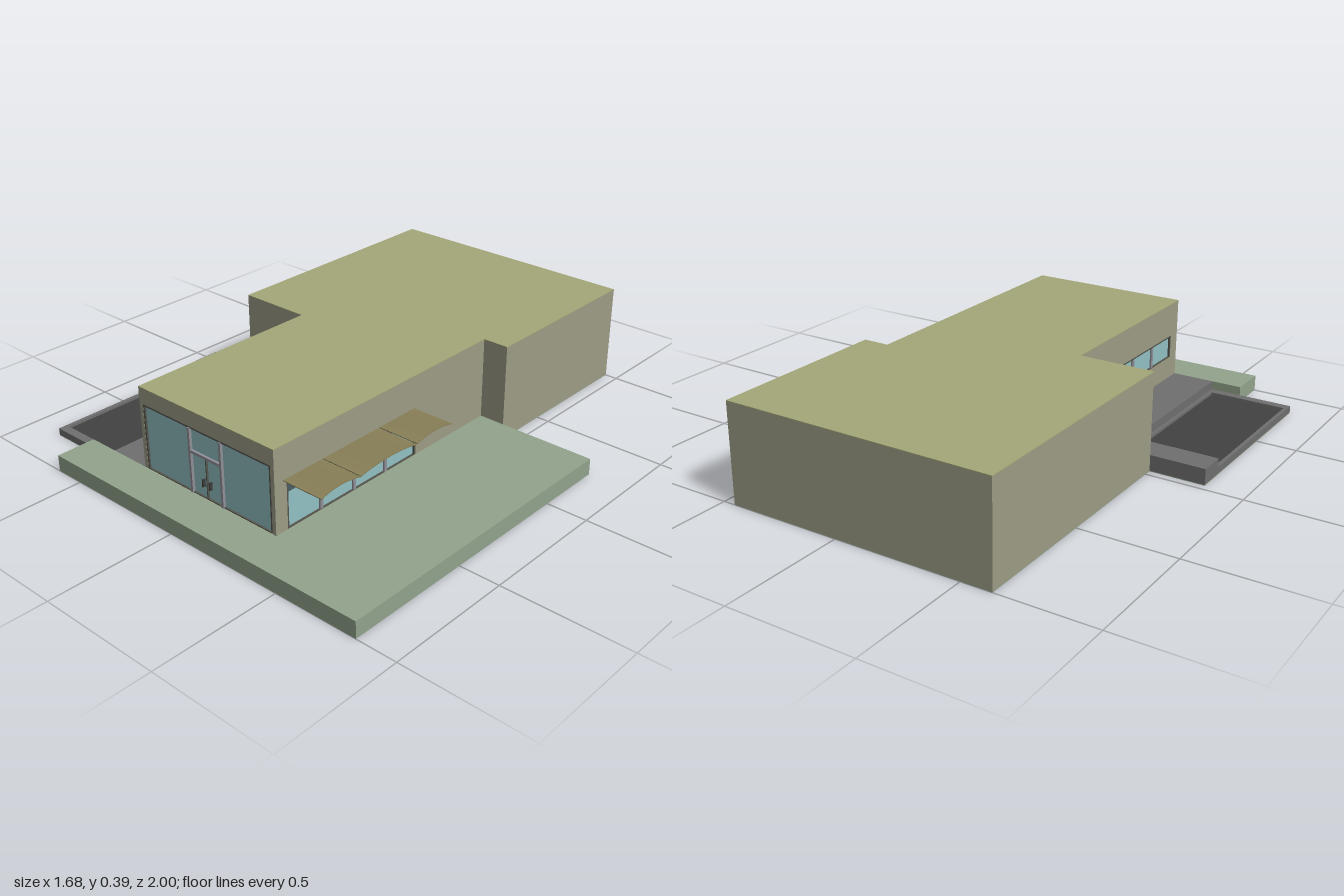
import * as THREE from 'three';

const mat = (color) => new THREE.MeshStandardMaterial({ color });
const wallMat = mat(0x9c9c86), roofMat = mat(0xa5a878), terraceMat = mat(0x92a48c);
const pavingMat = mat(0x706f70), basinMat = mat(0x424242), glassMat = mat(0x92c0c4);
const tintMat = mat(0x4a5c60), frameMat = mat(0x55554e), mullionMat = mat(0x8f8f98);
const awningMat = mat(0x8a8158), handleMat = mat(0x3a3a38);

const FLOOR = 0.065, TOP = 0.39, SKIN = 0.015;

// Box given by its min and max along each axis
function box(parent, name, material, x0, x1, y0, y1, z0, z1) {
  const mesh = new THREE.Mesh(new THREE.BoxGeometry(x1 - x0, y1 - y0, z1 - z0), material);
  mesh.position.set((x0 + x1) / 2, (y0 + y1) / 2, (z0 + z1) / 2);
  mesh.name = name;
  parent.add(mesh);
  return mesh;
}

// Horizontal slab from an outline of [x, z] points
function slab(parent, name, material, outline, y0, y1) {
  const shape = new THREE.Shape(outline.map(([x, z]) => new THREE.Vector2(x, -z)));
  const geo = new THREE.ExtrudeGeometry(shape, { depth: y1 - y0, bevelEnabled: false });
  geo.rotateX(-Math.PI / 2);
  const mesh = new THREE.Mesh(geo, material);
  mesh.position.y = y0;
  mesh.name = name;
  parent.add(mesh);
}

// Wall skin in local x/y, outer face at z = 0, with one rectangular opening
function facade(name, x0, x1, y0, [a, b, c, d]) {
  const group = new THREE.Group();
  group.name = name;
  const rect = (path, l, r, u, v) => path.moveTo(l, u).lineTo(r, u).lineTo(r, v).lineTo(l, v).closePath();
  const shape = rect(new THREE.Shape(), x0, x1, y0, TOP - 0.003);
  shape.holes.push(rect(new THREE.Path(), a, b, c, d));
  const wall = new THREE.Mesh(new THREE.ExtrudeGeometry(shape, { depth: SKIN, bevelEnabled: false }), wallMat);
  wall.position.z = -SKIN;
  wall.name = 'wallSkin';
  group.add(wall);
  box(group, 'glass', glassMat, a, b, c, d, -SKIN, -0.008);
  // surrounding frame
  const t = 0.007;
  box(group, 'frameTop', frameMat, a, b, d - t, d, -SKIN, -0.001);
  box(group, 'frameBottom', frameMat, a, b, c, c + t / 2, -SKIN, -0.001);
  box(group, 'frameSide', frameMat, a, a + t, c, d, -SKIN, -0.001);
  box(group, 'frameSide', frameMat, b - t, b, c, d, -SKIN, -0.001);
  return group;
}

// Upright bars dividing a row of four panes
function mullions(group, a, b, c, d) {
  for (let i = 1; i < 4; i++) {
    const x = a + (b - a) * i / 4;
    box(group, 'mullion', mullionMat, x - 0.007, x + 0.007, c, d, -SKIN, -0.001);
  }
}

// Thin canopy, straight at the wall and arched at its outer edge
function awning(parent, z0, z1) {
  const w = 0.17, len = z1 - z0;
  const geo = new THREE.BoxGeometry(w, 0.003, len, 4, 1, 12);
  const p = geo.attributes.position;
  for (let i = 0; i < p.count; i++) {
    const t = p.getX(i) / w + 0.5, u = p.getZ(i) / (len / 2);
    p.setY(i, p.getY(i) + t * 0.013 * (1 - u * u));
  }
  geo.computeVertexNormals();
  const mesh = new THREE.Mesh(geo, awningMat);
  mesh.position.set(0.345 + w / 2, 0.258, (z0 + z1) / 2);
  mesh.name = 'awning';
  parent.add(mesh);
}

export function createModel() {
  const model = new THREE.Group();
  model.name = 'pavilion';

  // Ground sheet under everything
  slab(model, 'groundSheet', terraceMat, [
    [-0.62, -1], [0.45, -1], [0.45, -0.265], [0.84, -0.265], [0.84, 1],
    [-0.62, 1], [-0.62, 0.84], [-0.84, 0.84], [-0.84, 0.03], [-0.62, 0.03],
  ], 0, 0.003);

  // Terrace wrapping the front and one side
  slab(model, 'terrace', terraceMat, [
    [0.335, -0.265], [0.84, -0.265], [0.84, 1], [-0.62, 1], [-0.62, 0.84], [0.335, 0.84],
  ], 0.003, FLOOR);

  // Building: solid core, roof sheet, wall skins
  const house = new THREE.Group();
  house.name = 'building';
  model.add(house);
  slab(house, 'core', wallMat, [
    [-0.62, -1], [0.45, -1], [0.45, -0.265], [0.33, -0.265], [0.33, 0.825],
    [-0.305, 0.825], [-0.305, 0.03], [-0.62, 0.03],
  ], 0.003, TOP - 0.003);
  slab(house, 'roof', roofMat, [
    [-0.62, -1], [0.45, -1], [0.45, -0.265], [0.345, -0.265], [0.345, 0.84],
    [-0.32, 0.84], [-0.32, 0.03], [-0.62, 0.03],
  ], TOP - 0.003, TOP);

  // Glazed front with double door
  const front = facade('frontFacade', -0.305, 0.33, 0.003, [-0.303, 0.328, FLOOR, 0.325]);
  front.position.z = 0.84;
  for (const x of [-0.065, 0.09]) {
    box(front, 'doorPost', mullionMat, x - 0.005, x + 0.005, FLOOR, 0.32, -SKIN, 0.003);
  }
  box(front, 'doorHead', mullionMat, -0.065, 0.09, 0.225, 0.235, -SKIN, 0.003);
  box(front, 'doorSplit', frameMat, 0.0105, 0.0145, FLOOR, 0.225, -SKIN, 0);
  for (const x of [-0.005, 0.03]) {
    box(front, 'doorHandle', handleMat, x - 0.002, x + 0.002, 0.11, 0.14, -0.009, 0.005);
  }
  house.add(front);

  // Side with tall windows and tinted upper lights
  const right = facade('terraceFacade', -0.84, 0.265, 0.003, [-0.785, -0.13, FLOOR, 0.245]);
  right.rotation.y = Math.PI / 2;
  right.position.x = 0.345;
  box(right, 'upperLights', tintMat, -0.778, -0.137, 0.202, 0.238, -SKIN, -0.006);
  mullions(right, -0.785, -0.13, FLOOR, 0.238);
  house.add(right);

  // Opposite side with a band of high windows
  const left = facade('courtFacade', 0.03, 0.84, 0.003, [0.13, 0.785, 0.155, 0.25]);
  left.rotation.y = -Math.PI / 2;
  left.position.x = -0.32;
  mullions(left, 0.13, 0.785, 0.155, 0.25);
  house.add(left);

  // Awnings over the terrace windows
  for (const [z0, z1] of [[0.14, 0.328], [0.334, 0.613], [0.617, 0.8]]) awning(house, z0, z1);

  // Paved court with a sunken basin
  const court = new THREE.Group();
  court.name = 'court';
  model.add(court);
  slab(court, 'paving', pavingMat, [
    [-0.84, 0.03], [-0.32, 0.03], [-0.32, 0.84], [-0.495, 0.84], [-0.495, 0.14], [-0.84, 0.14],
  ], 0.003, FLOOR);
  box(court, 'basin', basinMat, -0.83, -0.5, 0.003, 0.02, 0.15, 0.83);
  box(court, 'basinRim', pavingMat, -0.84, -0.825, 0.003, 0.03, 0.14, 0.84);
  box(court, 'basinRim', pavingMat, -0.51, -0.495, 0.003, 0.03, 0.14, 0.84);
  box(court, 'basinRim', pavingMat, -0.825, -0.51, 0.003, 0.03, 0.14, 0.175);
  box(court, 'basinRim', pavingMat, -0.825, -0.51, 0.003, 0.03, 0.805, 0.84);

  return model;
}
